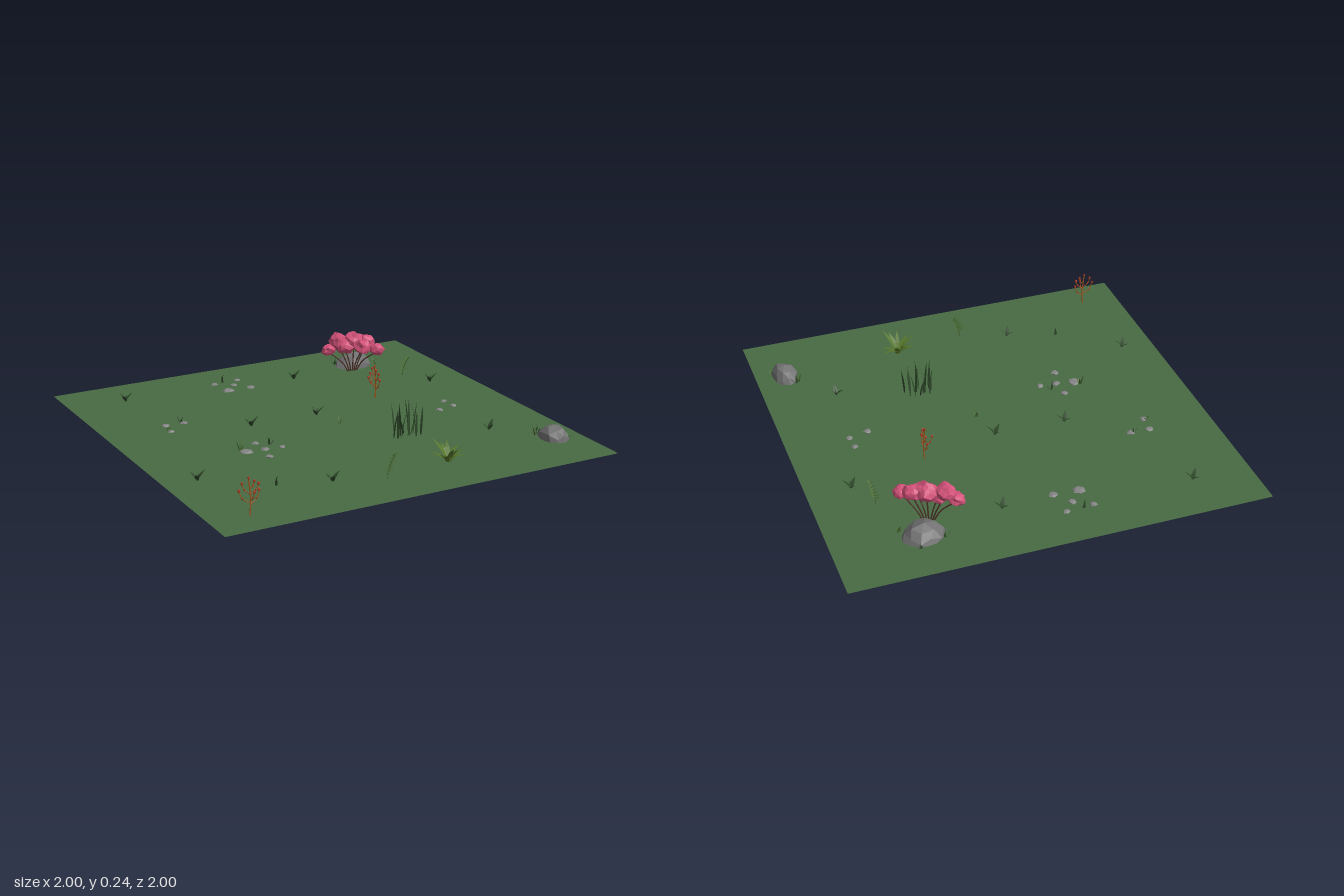
import * as THREE from 'three';
import { mergeGeometries } from 'three/addons/utils/BufferGeometryUtils.js';

const GROUND = 0.026;
const V = (x, y, z) => new THREE.Vector3(x, y, z);
const mat = (name, color) => {
  const m = new THREE.MeshStandardMaterial({ color, flatShading: true, side: THREE.DoubleSide });
  m.name = name;
  return m;
};

// Repeatable pseudo-random value for a position, so shared corners move together
const hash = (x, y, z, s) => {
  const n = Math.sin(Math.round(x * 50) * 12.99 + Math.round(y * 50) * 78.23 + Math.round(z * 50) * 37.72 + s * 4.13) * 43758.55;
  return n - Math.floor(n);
};

// Faceted lump: jittered icosahedron, scaled, optionally cut flat at the bottom
function lump(x, y, z, sx, sy, sz, seed, { detail = 1, rough = 0.25, floor = -9, turn = 0 } = {}) {
  const g = new THREE.IcosahedronGeometry(1, detail);
  const p = g.attributes.position;
  for (let i = 0; i < p.count; i++) {
    const [a, b, c] = [p.getX(i), p.getY(i), p.getZ(i)];
    const k = 1 - rough * hash(a, b, c, seed);
    p.setXYZ(i, a * k * sx, b * k * sy, c * k * sz);
  }
  g.rotateY(turn).translate(x, y, z);
  for (let i = 0; i < p.count; i++) p.setY(i, Math.max(floor, p.getY(i)));
  g.computeVertexNormals();
  return g;
}

// Curved blade: rises from its base, arches out to the tip and tapers to a point
function blade(base, angle, reach, height, width, droop = 0) {
  const steps = 5, pos = [], idx = [];
  const dx = Math.cos(angle), dz = Math.sin(angle);
  for (let i = 0; i <= steps; i++) {
    const t = i / steps;
    const out = reach * t ** 1.5;
    const w = width * 0.5 * Math.sin(Math.PI * (0.2 + 0.8 * t));
    const x = base.x + dx * out, y = base.y + height * t - droop * t * t, z = base.z + dz * out;
    pos.push(x - dz * w, y, z + dx * w, x + dz * w, y, z - dx * w);
    if (i) {
      const k = i * 2;
      idx.push(k - 2, k - 1, k, k - 1, k + 1, k);
    }
  }
  const g = new THREE.BufferGeometry();
  g.setAttribute('position', new THREE.Float32BufferAttribute(pos, 3));
  g.setIndex(idx);
  g.computeVertexNormals();
  return g;
}

const stem = (pts, r) => new THREE.TubeGeometry(new THREE.CatmullRomCurve3(pts), 6, r, 5);

// Bring a geometry to plain triangles so different kinds can be merged
function plain(g) {
  const out = g.index ? g.toNonIndexed() : g;
  out.deleteAttribute('uv');
  return out;
}

export function createModel() {
  const root = new THREE.Group();
  root.name = 'meadowTile';
  const green = mat('lawn green', 0x486a43);
  const grass = mat('dark grass', 0x2f4a2a);
  const leaf = mat('olive leaf', 0x55752a);
  const fernGreen = mat('fern green', 0x47692f);
  const rock = mat('boulder grey', 0x707070);
  const stone = mat('pebble grey', 0x858585);
  const pink = mat('pink blossom', 0xd4527a);
  const bark = mat('dark bark', 0x4a3026);
  const twig = mat('orange twig', 0xa0581f);
  const bud = mat('red bud', 0xb03a22);
  const add = (name, parts, material) => {
    const m = new THREE.Mesh(mergeGeometries(parts.map(plain)), material);
    m.name = name;
    root.add(m);
  };

  // Lawn sheet
  add('lawn', [new THREE.PlaneGeometry(2, 2).rotateX(-Math.PI / 2).translate(0, GROUND, 0)], green);

  // Three-bladed grass tufts with a short upright centre
  [[-0.71, -0.76, 0.2], [0.19, -0.67, 0], [0.79, -0.3, 0.3], [-0.32, -0.135, 0], [0.03, -0.125, 0.4],
    [-0.84, 0.38, 0], [0.655, 0.45, -0.5], [-0.32, 0.675, -0.1]].forEach(([x, z, a]) => {
    const parts = [0, 1, 2].map(i => blade(V(x, GROUND, z), a + i * 2.09, 0.04, 0.05 - i * 0.006, 0.02, 0.004));
    parts.push(blade(V(x, GROUND, z), a + 1, 0.008, 0.038, 0.008));
    add('grassTuft', parts, grass);
  });

  // Small upright sprouts among the stones
  [[-0.16, -0.79, 0.05], [-0.7, -0.255, 0.035], [-0.355, 0.135, 0.045], [-0.51, 0.135, 0.05], [-0.6, -0.335, 0.04],
    [0.07, 0.04, 0.04], [-0.56, 0.6, 0.045], [0.8, 0.62, 0.06], [0.82, 0.61, 0.05], [0.91, 0.73, 0.035],
    [0.49, -0.78, 0.04], [0.68, -0.68, 0.045], [0.62, -0.82, 0.03]].forEach(([x, z, h], i) => {
    const parts = [0, 1, 2].map(k =>
      blade(V(x + (k - 1) * 0.006, GROUND, z), i + k * 2.3, 0.015, h * (1 - k * 0.2), 0.009));
    add('sprout', parts, i % 2 ? fernGreen : grass);
  });

  // Flat pebbles
  [[-0.21, -0.78, 0.02], [-0.078, -0.79, 0.018], [-0.127, -0.73, 0.021], [-0.187, -0.66, 0.034], [-0.063, -0.655, 0.025],
    [-0.682, -0.33, 0.022], [-0.587, -0.33, 0.021], [-0.688, -0.245, 0.019],
    [-0.493, 0.165, 0.036], [-0.407, 0.087, 0.02], [-0.402, 0.18, 0.022], [-0.318, 0.187, 0.018], [-0.428, 0.27, 0.022],
    [0.685, 0, 0.018], [0.693, 0.077, 0.02], [0.596, 0.1, 0.021]].forEach(([x, z, r], i) =>
    add('pebble', [lump(x, GROUND, z, r * 1.1, 0.01, r * 1.1, i, { detail: 0, floor: GROUND - 0.005, turn: i })], stone));

  // Two boulders, sunk slightly through the lawn
  add('backBoulder', [lump(0.58, 0.015, -0.735, 0.115, 0.083, 0.095, 3, { rough: 0.18, floor: 0, turn: 0.2 })], rock);
  add('frontBoulder', [lump(0.858, 0.015, 0.69, 0.071, 0.092, 0.098, 8, { rough: 0.2, floor: 0, turn: 0.1 })], rock);

  // Blossom shrub: canopy lumps in a diagonal band over spreading stems
  const lumps = [[0.405, 0.15, -0.685, 0.042, 0.034], [0.455, 0.192, -0.675, 0.048, 0.05], [0.485, 0.165, -0.65, 0.05, 0.045],
    [0.535, 0.195, -0.645, 0.053, 0.05], [0.56, 0.165, -0.6, 0.052, 0.045], [0.595, 0.185, -0.62, 0.047, 0.042],
    [0.625, 0.155, -0.56, 0.042, 0.036]];
  add('blossomCanopy', lumps.map(([x, y, z, r, h], i) =>
    lump(x, y, z, r * 1.1, h * 1.05, r, i + 20, { rough: 0.32, turn: -0.5 })), pink);
  add('shrubStems', lumps.map(([x, y, z], i) => {
    const bx = 0.505 + i * 0.007;
    return stem([V(bx, GROUND - 0.01, -0.645), V((bx * 2 + x) / 3, 0.075, -0.645 + (z + 0.645) * 0.2), V(x, y - 0.015, z)], 0.0035);
  }), bark);

  // Budding twigs: one upright stem with curved side shoots
  [[-0.81, 0.845, 0], [0.405, -0.2, 1.57]].forEach(([x, z, turn]) => {
    const wood = [stem([V(x, GROUND, z), V(x + 0.004, 0.1, z), V(x - 0.004, 0.19, z)], 0.0032)];
    const buds = [lump(x - 0.004, 0.195, z, 0.006, 0.01, 0.006, 1, { detail: 0 })];
    [[0, 0.075, 0.045, 0.06], [3.14, 0.085, 0.05, 0.06], [1.5, 0.095, 0.04, 0.05], [0.1, 0.12, 0.04, 0.045],
      [3.2, 0.125, 0.035, 0.05], [0.3, 0.145, 0.02, 0.035]].forEach(([a, y, out, up], i) => {
      const dx = Math.cos(a + turn) * out, dz = Math.sin(a + turn) * out;
      wood.push(stem([V(x, y, z), V(x + dx * 0.7, y + up * 0.35, z + dz * 0.7), V(x + dx, y + up, z + dz)], 0.0022));
      buds.push(lump(x + dx, y + up, z + dz, 0.007, 0.01, 0.007, i, { detail: 0 }));
      buds.push(lump(x + dx * 0.7, y + up * 0.4, z + dz * 0.7, 0.005, 0.006, 0.005, i + 9, { detail: 0 }));
    });
    add('twigWood', wood, twig);
    add('twigBuds', buds, bud);
  });

  // Tall reeds
  const reeds = [];
  for (let i = 0; i < 15; i++) {
    const x = 0.2 + i * 0.0095, z = 0.33 + Math.sin(i * 2.4) * 0.03;
    const h = 0.07 + 0.115 * Math.abs(Math.sin(i * 1.7 + 0.6));
    reeds.push(blade(V(x, GROUND, z), i * 2.2, 0.022, h, 0.012));
  }
  add('tallReeds', reeds, grass);

  // Broad-leaved rosette
  const leaves = [];
  for (let i = 0; i < 13; i++) {
    const a = i * 2.4;
    leaves.push(blade(V(0.26 + 0.01 * Math.cos(a), GROUND, 0.71 + 0.01 * Math.sin(a)), a,
      0.07 + 0.03 * Math.abs(Math.cos(a)) * (i % 2), 0.07 + (i % 4) * 0.02, 0.022, 0.025 + (i % 3) * 0.01));
  }
  add('leafRosette', leaves, leaf);

  // Ferns: arched stem with paired leaflets
  [[-0.09, 0.76, 0], [0.715, -0.45, 1]].forEach(([x, z, turn]) => {
    const dx = Math.cos(turn), dz = Math.sin(turn);
    const at = t => V(x + dx * 0.035 * t * t, GROUND + 0.105 * t, z + dz * 0.035 * t * t);
    const parts = [stem([at(0), at(0.5), at(1)], 0.0018)];
    for (let i = 0; i < 6; i++) {
      const t = 0.3 + i * 0.13, len = 0.034 * (1.1 - t * 0.6);
      for (const side of [0, Math.PI]) parts.push(blade(at(t), turn + side, len, 0.014, 0.013));
    }
    add('fern', parts, fernGreen);
  });

  return root;
}
